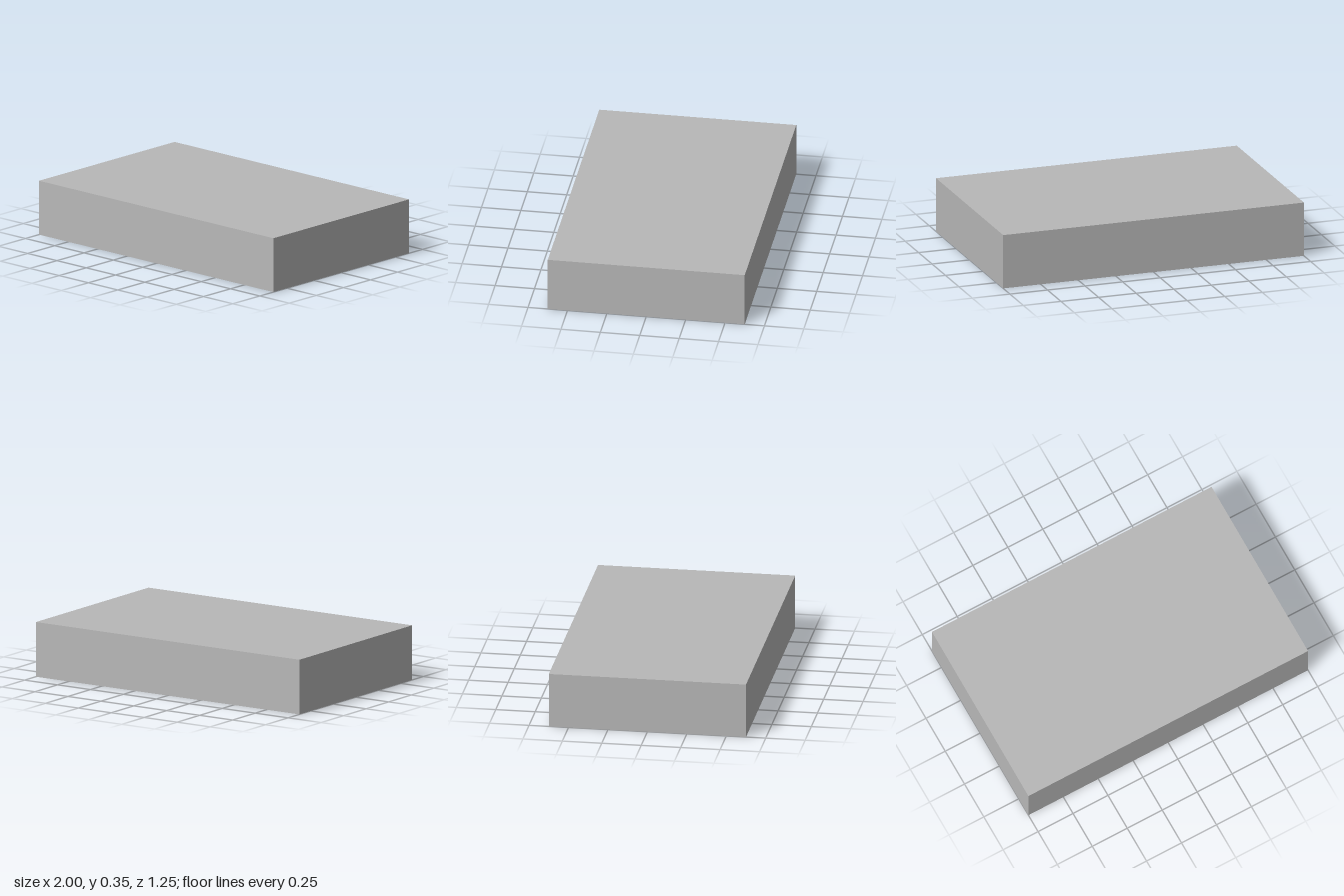
import * as THREE from 'three';
import { toCreasedNormals } from 'three/addons/utils/BufferGeometryUtils.js';

const W = 2, D = 1.25, H = 0.35;      // outer size
const WALL = 0.1, CEILING = 0.28;     // wall thickness, underside of the roof
const BEVEL = 0.033, R = 0.036;       // ceiling bevel, cavity corner radius

// Counter-clockwise rounded rectangle as a list of points
function roundedRect(w, d, r, steps = 8) {
  const points = [];
  [[1, 1], [-1, 1], [-1, -1], [1, -1]].forEach(([sx, sy], corner) => {
    for (let i = 0; i <= steps; i++) {
      const a = (corner + i / steps) * Math.PI / 2;
      points.push(new THREE.Vector2(
        sx * (w / 2 - r) + r * Math.cos(a),
        sy * (d / 2 - r) + r * Math.sin(a)));
    }
  });
  return points;
}

// Inward-facing band between two outlines at two heights
function band(low, yLow, high, yHigh) {
  const positions = [], index = [], n = low.length;
  low.forEach((p, i) => {
    positions.push(p.x, yLow, -p.y, high[i].x, yHigh, -high[i].y);
    const a = 2 * i, b = 2 * ((i + 1) % n);
    index.push(a, a + 1, b, b, a + 1, b + 1);
  });
  const g = new THREE.BufferGeometry();
  g.setAttribute('position', new THREE.Float32BufferAttribute(positions, 3));
  g.setIndex(index);
  return toCreasedNormals(g, 0.5);
}

export function createModel() {
  const group = new THREE.Group();
  const grey = new THREE.MeshStandardMaterial({ name: 'grey', color: 0xb8b8b8 });
  const add = (name, geometry, x = 0, y = 0, z = 0) => {
    const mesh = new THREE.Mesh(geometry, grey);
    mesh.name = name;
    mesh.position.set(x, y, z);
    group.add(mesh);
  };

  // Side walls around the open-bottomed cavity
  const cw = W - 2 * WALL, cd = D - 2 * WALL;
  const cavity = roundedRect(cw, cd, R);
  const outline = new THREE.Shape([[-1, -1], [1, -1], [1, 1], [-1, 1]]
    .map(([x, y]) => new THREE.Vector2(x * W / 2, y * D / 2)));
  outline.holes.push(new THREE.Path(cavity));
  const walls = new THREE.ExtrudeGeometry(outline, { depth: CEILING, bevelEnabled: false });
  walls.rotateX(-Math.PI / 2);
  add('walls', toCreasedNormals(walls, 0.5));

  // Flat roof
  add('roof', new THREE.BoxGeometry(W, H - CEILING, D), 0, (H + CEILING) / 2, 0);

  // Bevel where the cavity walls meet the ceiling
  const inner = roundedRect(cw - 2 * BEVEL, cd - 2 * BEVEL, R - BEVEL);
  add('ceilingBevel', band(cavity, CEILING - BEVEL, inner, CEILING));

  // Single post hanging from the ceiling near one end
  add('post', new THREE.CylinderGeometry(0.078, 0.078, CEILING, 40), 0.7, CEILING / 2, 0);

  return group;
}
